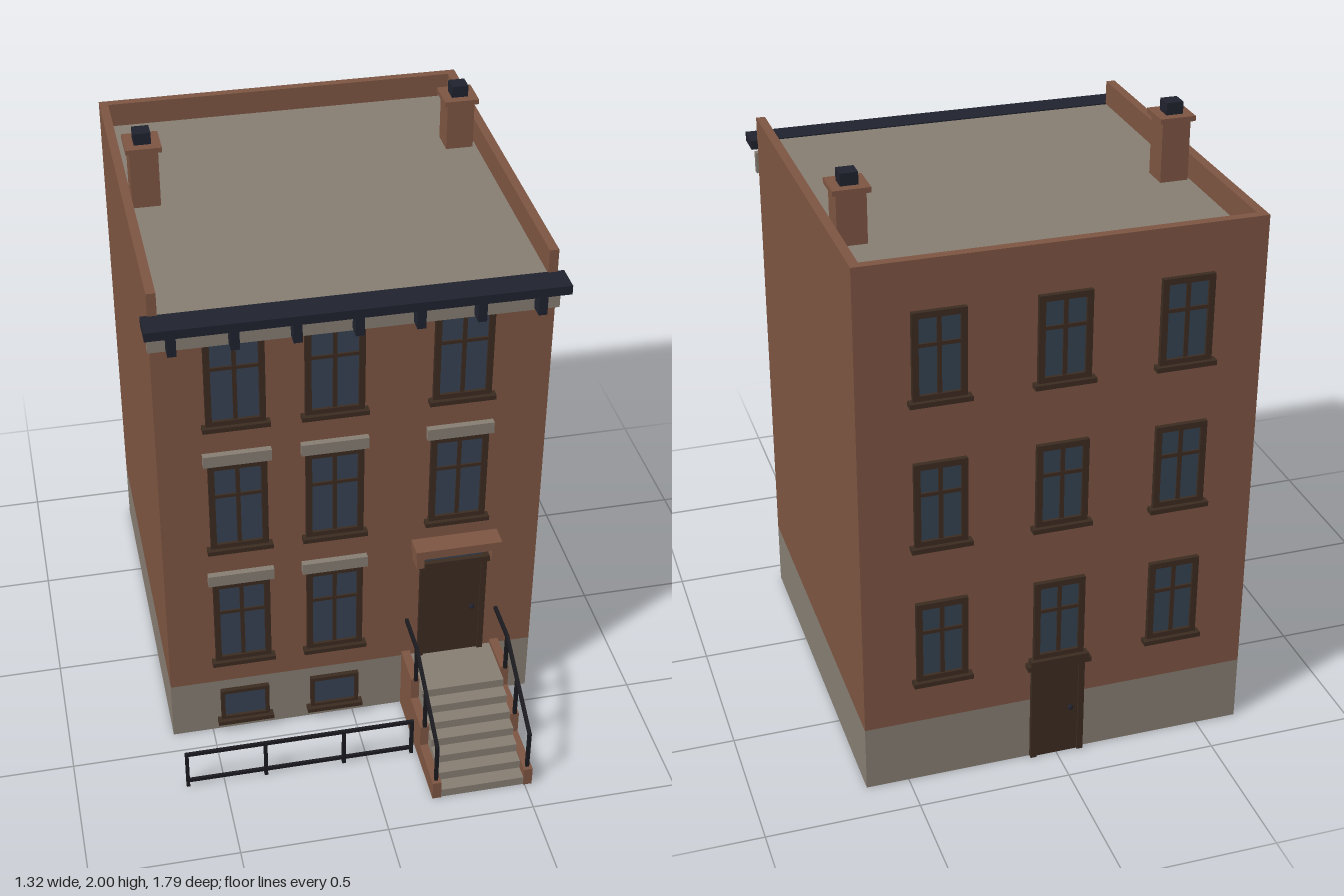
import * as THREE from 'three';

const mat = (name, color) => {
  const m = new THREE.MeshStandardMaterial({ color });
  m.name = name;
  return m;
};

export function createModel() {
  const brick = mat('brick', 0x7d5542);
  const stone = mat('stone', 0x867d72);
  const wood = mat('dark wood', 0x3b2b21);
  const glass = mat('window glass', 0x354252);
  const navy = mat('cornice paint', 0x20222e);
  const iron = mat('wrought iron', 0x1a1a1f);

  const model = new THREE.Group();
  model.name = 'townhouse';

  const group = (name, parent = model) => {
    const g = new THREE.Group();
    g.name = name;
    parent.add(g);
    return g;
  };

  // box given by its limits on each axis
  const box = (parent, name, m, x0, x1, y0, y1, z0, z1) => {
    const mesh = new THREE.Mesh(new THREE.BoxGeometry(x1 - x0, y1 - y0, z1 - z0), m);
    mesh.position.set((x0 + x1) / 2, (y0 + y1) / 2, (z0 + z1) / 2);
    mesh.name = name;
    parent.add(mesh);
    return mesh;
  };

  // hollow shell: stone base course, brick walls, flat roof
  const X = 0.64, ZF = 0.418, ZB = -0.865, T = 0.03;
  const shell = group('walls');
  const ring = (name, m, y0, ySide, yFront) => {
    for (const s of [-1, 1]) {
      const a = s * X, b = s * (X - T);
      box(shell, name + 'Side', m, Math.min(a, b), Math.max(a, b), y0, ySide, ZB, ZF);
    }
    box(shell, name + 'Back', m, -X + T, X - T, y0, ySide, ZB, ZB + T);
    box(shell, name + 'Front', m, -X + T, X - T, y0, yFront, ZF - T, ZF);
  };
  ring('base', stone, 0, 0.225, 0.225);
  ring('wall', brick, 0.225, 1.825, 1.735);
  box(shell, 'roof', stone, -X + T, X - T, 1.71, 1.742, ZB + T, ZF - 0.004);

  // window on a local wall plane z = 0, bottom of frame at y = 0
  const makeWindow = (name, w, h, { bars = true, lintel = false, border = 0.02 } = {}) => {
    const g = group(name);
    const a = w / 2, i = a - border;
    box(g, 'glass', glass, -i, i, border, h - border, 0, 0.006);
    for (const s of [-1, 1]) {
      const c = s * (a - border / 2);
      box(g, 'jamb', wood, c - border / 2, c + border / 2, 0, h, 0, 0.016);
    }
    box(g, 'headRail', wood, -i, i, h - border, h, 0, 0.016);
    box(g, 'bottomRail', wood, -i, i, 0, border, 0, 0.016);
    if (bars) {
      box(g, 'verticalBar', wood, -0.007, 0.007, border, h - border, 0, 0.011);
      box(g, 'crossBar', wood, -i, i, h * 0.625 - 0.006, h * 0.625 + 0.006, 0, 0.012);
    }
    box(g, 'sill', wood, -a - 0.013, a + 0.013, -0.013, 0.003, 0, 0.03);
    if (lintel) box(g, 'lintel', stone, -a - 0.015, a + 0.015, h, h + 0.042, 0, 0.022);
    return g;
  };

  // front windows: the entrance takes the third column of the first floor
  const columns = [-0.384, -0.066, 0.349];
  [0.33, 0.825, 1.32].forEach((y, row) => columns.forEach((x, col) => {
    if (row === 0 && col === 2) return;
    makeWindow('frontWindow', 0.192, 0.343, { lintel: true }).position.set(x, y, ZF);
  }));
  for (const x of columns.slice(0, 2)) {
    makeWindow('basementWindow', 0.17, 0.134, { bars: false, border: 0.014 })
      .position.set(x, 0.052, ZF);
  }

  // rear windows
  for (const y of [0.385, 0.88, 1.378]) for (const x of [-0.386, 0, 0.386]) {
    const w = makeWindow('rearWindow', 0.168, 0.288);
    w.position.set(x, y, ZB);
    w.rotation.y = Math.PI;
  }

  // door on a local wall plane
  const makeDoor = (name, w, h) => {
    const g = group(name);
    const a = w / 2;
    box(g, 'leaf', wood, -a + 0.02, a - 0.02, 0, h, 0, 0.009);
    for (const s of [-1, 1]) {
      const c = s * (a - 0.01);
      box(g, 'jamb', wood, c - 0.01, c + 0.01, 0, h, 0, 0.016);
    }
    box(g, 'head', wood, -a - 0.006, a + 0.006, h - 0.004, h + 0.019, 0, 0.025);
    const knob = new THREE.Mesh(new THREE.SphereGeometry(0.009, 10, 8), navy);
    knob.name = 'knob';
    knob.position.set(a - 0.046, h * 0.49, 0.015);
    g.add(knob);
    return g;
  };
  const entrance = makeDoor('frontDoor', 0.234, 0.405);
  entrance.position.set(0.348, 0.225, ZF);
  box(entrance, 'transom', glass, -0.098, 0.098, 0.424, 0.485, 0, 0.008);
  box(entrance, 'hood', brick, -0.148, 0.148, 0.487, 0.52, 0, 0.073);
  for (const s of [-1, 1]) {
    box(entrance, 'hoodBracket', brick, s * 0.13 - 0.013, s * 0.13 + 0.013, 0.44, 0.487, 0, 0.062);
  }
  const rearDoor = makeDoor('rearDoor', 0.18, 0.358);
  rearDoor.position.set(0, 0, ZB);
  rearDoor.rotation.y = Math.PI;
  box(rearDoor, 'hood', wood, -0.107, 0.107, 0.354, 0.372, 0, 0.03);

  // cornice with frieze and brackets
  const cornice = group('cornice');
  box(cornice, 'frieze', stone, -0.648, 0.648, 1.628, 1.7, ZF - 0.002, 0.439);
  box(cornice, 'shelf', navy, -0.662, 0.662, 1.715, 1.746, 0.413, 0.508);
  for (let i = -3; i <= 3; i++) {
    const x = i * 0.193;
    box(cornice, 'bracket', navy, x - 0.014, x + 0.014, 1.637, 1.715, ZF, 0.487);
  }

  // chimneys
  for (const [x, z, top] of [[-0.555, -0.292, 1.96], [0.55, -0.482, 1.925]]) {
    const c = group('chimney');
    const block = (name, m, r, y0, y1) => box(c, name, m, x - r, x + r, y0, y1, z - r, z + r);
    block('shaft', brick, 0.047, 1.74, top - 0.017);
    block('cap', brick, 0.059, top - 0.017, top);
    block('pot', navy, 0.028, top, top + 0.04);
  }

  // stoop: stone steps between stepped brick cheek walls
  const stoop = group('stoop');
  const run = 0.0472, start = 0.892;
  for (let i = 0; i < 7; i++) {
    const z = start - i * run;
    box(stoop, 'step', stone, 0.205, 0.495, 0, 0.0322 * (i + 1), i === 6 ? ZF : z - run, z);
  }
  for (const x of [0.176, 0.495]) {
    box(stoop, 'cheekLow', brick, x, x + 0.03, 0, 0.07, 0.71, 0.895);
    box(stoop, 'cheekMiddle', brick, x, x + 0.03, 0, 0.155, 0.565, 0.71);
    box(stoop, 'cheekHigh', brick, x, x + 0.03, 0, 0.243, ZF, 0.565);
  }

  // hand rails on the cheek walls
  const R = 0.006;
  for (const x of [0.191, 0.51]) {
    const rail = group('handRail');
    for (const [z, y0, y1] of [[0.876, 0.07, 0.22], [0.707, 0.155, 0.312], [0.57, 0.243, 0.389]]) {
      box(rail, 'post', iron, x - R, x + R, y0, y1, z - R, z + R);
    }
    box(rail, 'levelRail', iron, x - R, x + R, 0.382, 0.394, ZF, 0.573);
    const dz = 0.876 - 0.57, dy = 0.388 - 0.22;
    const slope = new THREE.Mesh(new THREE.BoxGeometry(0.012, 0.012, Math.hypot(dz, dy) + 0.01), iron);
    slope.name = 'slopingRail';
    slope.position.set(x, 0.304, 0.723);
    slope.rotation.x = Math.atan2(dy, dz);
    rail.add(slope);
  }

  // area fence in front of the basement windows
  const fence = group('areaFence');
  for (const x of [-0.625, -0.355, -0.083, 0.156]) {
    box(fence, 'post', iron, x - R, x + R, 0, 0.146, 0.662, 0.674);
  }
  for (const y of [0.025, 0.146]) {
    box(fence, 'rail', iron, -0.631, 0.162, y - R, y + R, 0.663, 0.673);
  }

  return model;
}
